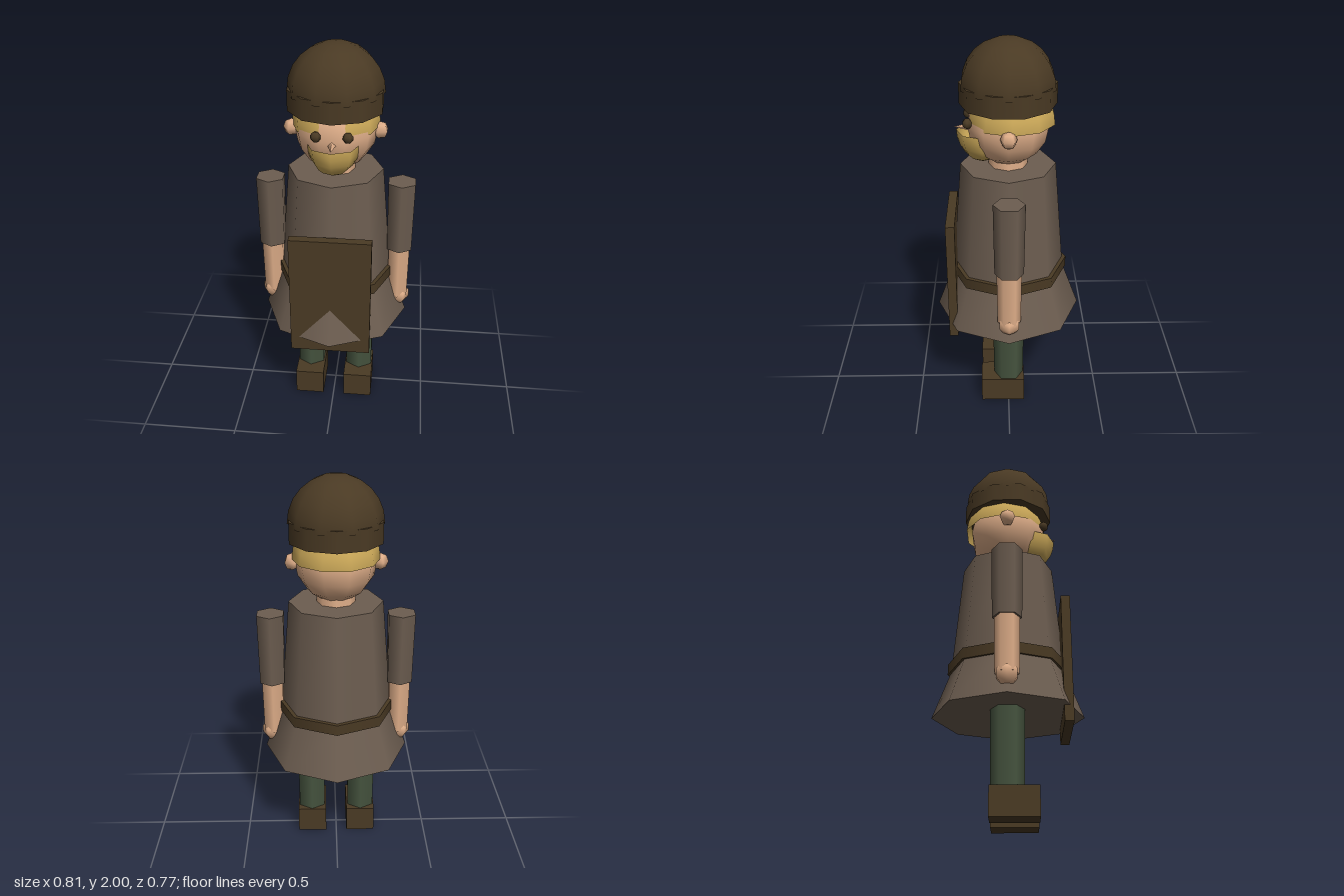
import * as THREE from 'three';

export function createModel() {
  const root = new THREE.Group();
  root.name = 'guard';

  const mat = (name, color, side = THREE.FrontSide) => {
    const m = new THREE.MeshStandardMaterial({ color, side });
    m.name = name;
    return m;
  };
  const skin = mat('skin', 0xdfae89);
  const wool = mat('greyBrownWool', 0x6c5d50);
  const leather = mat('darkLeather', 0x4a3a24);
  const cloth = mat('greenCloth', 0x46543f);
  const hair = mat('blondHair', 0xcca959, THREE.DoubleSide);

  const add = (name, geometry, material, x, y, z) => {
    const mesh = new THREE.Mesh(geometry, material);
    mesh.name = name;
    mesh.position.set(x, y, z);
    root.add(mesh);
    return mesh;
  };
  // Upright tapered cylinder between two heights
  const post = (name, material, rTop, rBottom, y0, y1, sides, x = 0, z = 0) =>
    add(name, new THREE.CylinderGeometry(rTop, rBottom, y1 - y0, sides), material, x, (y0 + y1) / 2, z);
  const ball = (name, material, r, ws, hs, x, y, z) =>
    add(name, new THREE.SphereGeometry(r, ws, hs), material, x, y, z);

  // Tunic, belt and skirt
  post('tunic', wool, 0.24, 0.292, 0.77, 1.365, 8);
  post('skirt', wool, 0.292, 0.383, 0.525, 0.77, 8);
  post('belt', leather, 0.309, 0.309, 0.758, 0.815, 8);

  // Limbs, mirrored
  for (const [side, s] of [['left', 1], ['right', -1]]) {
    post(side + 'Sleeve', wool, 0.078, 0.073, 0.92, 1.3, 6, s * 0.335);
    post(side + 'Forearm', skin, 0.063, 0.059, 0.63, 0.94, 6, s * 0.335);
    ball(side + 'Hand', skin, 0.06, 6, 5, s * 0.342, 0.626, 0);
    post(side + 'Leg', cloth, 0.085, 0.08, 0.12, 0.6, 6, s * 0.136);
    add(side + 'Boot', new THREE.BoxGeometry(0.155, 0.143, 0.235), leather, s * 0.135, 0.0715, 0.032);
    ball(side + 'Ear', skin, 0.043, 5, 4, s * 0.217, 1.572, 0);
    ball(side + 'Eye', leather, 0.026, 6, 5, s * 0.076, 1.604, 0.197);
  }

  // Head
  post('neck', skin, 0.095, 0.1, 1.33, 1.43, 8);
  ball('head', skin, 0.206, 10, 8, 0, 1.58, 0);
  const nose = add('nose', new THREE.ConeGeometry(0.024, 0.09, 4), skin, 0, 1.56, 0.222);
  nose.rotation.x = Math.PI / 2;

  // Hair cap, set slightly back so the brow shows
  add('hair', new THREE.SphereGeometry(0.218, 10, 6, 0, Math.PI * 2, 0, Math.PI / 2), hair, 0, 1.592, -0.018);

  // Beard: lower half of an egg
  const beard = add('beard',
    new THREE.SphereGeometry(0.13, 8, 6, 0, Math.PI * 2, Math.PI / 2, Math.PI / 2), hair, 0, 1.546, 0.125);
  beard.scale.y = 1.23;

  // Helmet
  post('helmetBand', leather, 0.238, 0.238, 1.68, 1.785, 10);
  add('helmetDome', new THREE.SphereGeometry(0.237, 10, 6, 0, Math.PI * 2, 0, Math.PI / 2),
    leather, 0, 1.763, 0);

  // Shield, pierced by the front fold of the skirt
  add('shield', new THREE.BoxGeometry(0.41, 0.663, 0.046), leather, 0, 0.777, 0.293);

  return root;
}
